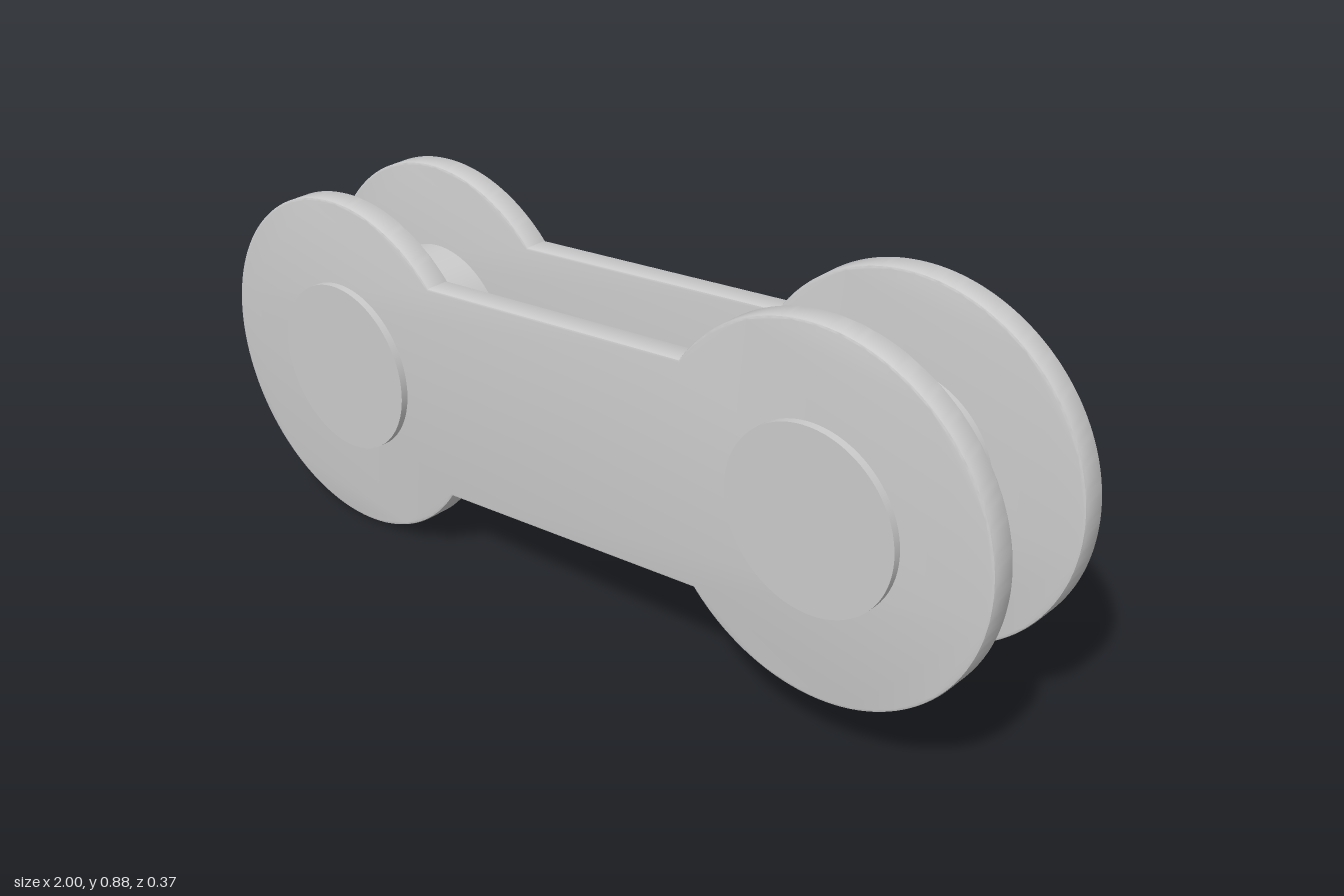
import * as THREE from 'three';
import { toCreasedNormals } from 'three/addons/utils/BufferGeometryUtils.js';

const HALF_SPAN = 0.628;   // link centre to pin centre
const EYE_R = 0.374;       // rounded plate ends
const NECK = 0.234;        // half width of the straight bar
const PIN_R = 0.187;
const PIN_LENGTH = 0.372;
const PLATE_T = 0.056;
const PLATE_Z = 0.142;
const BEVEL = 0.005;
const TILT = 0.1013;

const material = new THREE.MeshStandardMaterial({ color: 0xcccccc });

// Dumbbell outline: two round eyes joined by a straight neck
function plateGeometry() {
  const a = Math.asin(NECK / EYE_R);
  const shape = new THREE.Shape();
  shape.absarc(HALF_SPAN, 0, EYE_R, a - Math.PI, Math.PI - a, false);
  shape.absarc(-HALF_SPAN, 0, EYE_R, a, 2 * Math.PI - a, false);
  const geometry = new THREE.ExtrudeGeometry(shape, {
    depth: PLATE_T - 2 * BEVEL,
    curveSegments: 72,
    bevelEnabled: true,
    bevelThickness: BEVEL,
    bevelSize: BEVEL,
    bevelOffset: -BEVEL,
    bevelSegments: 2,
  });
  geometry.translate(0, 0, BEVEL - PLATE_T / 2);
  return toCreasedNormals(geometry, 0.5);
}

export function createModel() {
  const link = new THREE.Group();
  link.name = 'chainLink';

  const add = (name, geometry, x, z) => {
    const mesh = new THREE.Mesh(geometry, material);
    mesh.name = name;
    mesh.position.set(x, 0, z);
    link.add(mesh);
  };

  // Side plates
  const plate = plateGeometry();
  add('frontPlate', plate, 0, PLATE_Z);
  add('backPlate', plate, 0, -PLATE_Z);

  // Pins running through both plates, standing slightly proud
  const pin = new THREE.CylinderGeometry(PIN_R, PIN_R, PIN_LENGTH, 72);
  pin.rotateX(Math.PI / 2);
  add('leftPin', pin, HALF_SPAN, 0);
  add('rightPin', pin, -HALF_SPAN, 0);

  // Tilt the link so it rests on its lower eye
  link.rotation.z = TILT;
  link.position.y = EYE_R + HALF_SPAN * Math.sin(TILT);

  const model = new THREE.Group();
  model.name = 'model';
  model.add(link);
  return model;
}
